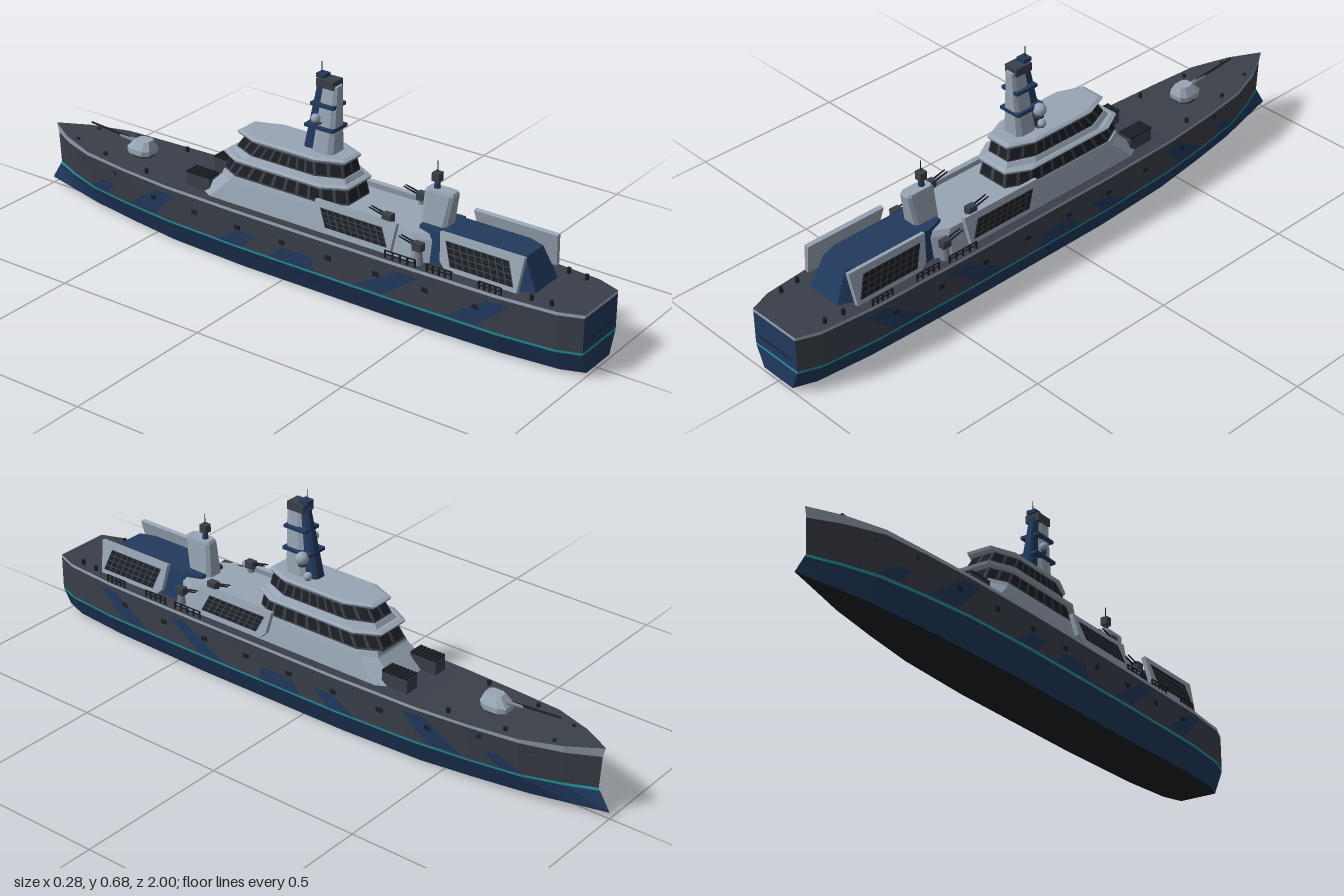
import * as THREE from 'three';

const mat = (name, color) => Object.assign(new THREE.MeshStandardMaterial({ color }), { name });
const M = {
  light: mat('light grey', 0x98a5b4),
  dark: mat('slate', 0x3a3f49),
  navy: mat('navy', 0x213a5e),
  black: mat('black', 0x1b1e24),
  teal: mat('teal', 0x2596a3),
  mid: mat('steel grey', 0x78838f),
};
const lerp = THREE.MathUtils.lerp;

// piecewise linear lookup in rows of [key, v1, v2, ...] with rising keys
function look(table, key, col = 1) {
  let i = 0;
  while (i < table.length - 2 && key > table[i + 1][0]) i++;
  const [a, b] = [table[i], table[i + 1]];
  return lerp(a[col], b[col], THREE.MathUtils.clamp((key - a[0]) / (b[0] - a[0]), 0, 1));
}
function quads(name, material, list) {
  const pos = [];
  for (const [a, b, c, d] of list) for (const p of [a, b, c, a, c, d]) pos.push(...p);
  const g = new THREE.BufferGeometry();
  g.setAttribute('position', new THREE.Float32BufferAttribute(pos, 3));
  g.computeVertexNormals();
  const m = new THREE.Mesh(g, material);
  m.name = name;
  return m;
}
// surface through rows of points, facing (row step) x (column step)
function skin(name, material, rows, flip) {
  const list = [];
  for (let i = 0; i < rows.length - 1; i++) for (let j = 0; j < rows[i].length - 1; j++) {
    const q = [rows[i][j], rows[i + 1][j], rows[i + 1][j + 1], rows[i][j + 1]];
    list.push(flip ? q.reverse() : q);
  }
  return quads(name, material, list);
}
// nu x nv thin panes laid on a quad (counter-clockwise corners from outside)
function panes(name, material, corners, nu, nv, gap, off = 0.0015) {
  const [a, b, c, d] = corners.map(p => new THREE.Vector3(...p));
  const n = b.clone().sub(a).cross(d.clone().sub(a)).normalize().multiplyScalar(off);
  const at = (u, v) => a.clone().lerp(b, u).lerp(d.clone().lerp(c, u), v).add(n).toArray();
  const list = [];
  for (let i = 0; i < nu; i++) for (let j = 0; j < nv; j++) {
    const u0 = (i + gap) / nu, u1 = (i + 1 - gap) / nu, v0 = (j + gap) / nv, v1 = (j + 1 - gap) / nv;
    list.push([at(u0, v0), at(u1, v0), at(u1, v1), at(u0, v1)]);
  }
  return quads(name, material, list);
}
// chamfered ring: y, half width, bow-end z, stern-end z, chamfer length, end width ratio
function ring([y, w, z0, z1, c = 0, k = 1]) {
  return [[w, z0 + c], [w, z1 - c], [w * k, z1], [-w * k, z1], [-w, z1 - c], [-w, z0 + c], [-w * k, z0], [w * k, z0]]
    .map(([x, z]) => [x, y, z]);
}
function loft(name, material, specs) {
  const rings = specs.map(ring), list = [];
  for (let i = 0; i < rings.length - 1; i++) for (let j = 0; j < 8; j++) {
    const n = (j + 1) % 8;
    list.push([rings[i][j], rings[i + 1][j], rings[i + 1][n], rings[i][n]]);
  }
  const t = rings[rings.length - 1], b = rings[0];
  for (const [p, q, r, s] of [[0, 1, 4, 5], [1, 2, 3, 4], [0, 5, 6, 7]]) {
    list.push([t[s], t[r], t[q], t[p]], [b[p], b[q], b[r], b[s]]);
  }
  return quads(name, material, list);
}
function part(name, geo, material, x, y, z, rx = 0, rz = 0) {
  const m = new THREE.Mesh(geo, material);
  m.name = name;
  m.position.set(x, y, z);
  m.rotation.set(rx, 0, rz);
  return m;
}
const box = (name, m, w, h, d, x, y, z, rx, rz) => part(name, new THREE.BoxGeometry(w, h, d), m, x, y, z, rx, rz);
const rod = (name, m, r0, r1, h, x, y, z, rx, rz, n = 10) => part(name, new THREE.CylinderGeometry(r1, r0, h, n), m, x, y, z, rx, rz);

// hull stations: z, half widths at deck, waterline and bottom
const STATIONS = [[-1, 0.001, 0.001, 0.001], [-0.9, 0.056, 0.04, 0.022], [-0.77, 0.1, 0.08, 0.05], [-0.6, 0.118, 0.105, 0.072],
  [-0.42, 0.131, 0.126, 0.09], [-0.15, 0.137, 0.137, 0.1], [0.4, 0.137, 0.138, 0.1], [0.75, 0.132, 0.133, 0.097],
  [0.93, 0.116, 0.116, 0.085], [1, 0.09, 0.09, 0.062]];
const DECK = [[-1, 0.216], [-0.6, 0.203], [-0.4, 0.2], [1, 0.2]];
const KEEL = [[-1, 0.02], [-0.35, 0], [0.5, 0], [1, 0.012]];
const STEM = [[0.02, -1], [0.09, -0.957], [0.12, -0.95], [0.215, -0.973]];
function hullPoint(z, y, off = 0) {
  const deck = look(DECK, z), keel = look(KEEL, z), wl = look(STATIONS, z, 2);
  const w = y < 0.08 ? lerp(look(STATIONS, z, 3), wl, (y - keel) / (0.08 - keel))
    : lerp(wl, look(STATIONS, z, 1), (y - 0.08) / (deck - 0.08));
  const zz = z < -0.6 ? -0.6 + (z + 0.6) * (look(STEM, y) + 0.6) / -0.4 : z;
  return [w + off, y, zz];
}
const flipX = ([x, y, z]) => [-x, y, z];

function createHull() {
  const g = new THREE.Group();
  g.name = 'hull';
  const zs = STATIONS.map(s => s[0]);
  const levels = [z => look(KEEL, z), () => 0.077, () => 0.085, z => look(DECK, z) - look([[-1, 0.03], [-0.72, 0.01], [1, 0.01]], z), z => look(DECK, z)];
  const rows = levels.map(f => zs.map(z => hullPoint(z, f(z))));
  const bands = [['lowerHull', M.navy], ['waterline', M.teal], ['upperHull', M.dark], ['gunwale', M.light]];
  bands.forEach(([name, m], i) => {
    const r = [rows[i], rows[i + 1]], mirrored = r.map(a => a.map(flipX));
    g.add(skin(name, m, r), skin(name, m, mirrored, true));
    const edge = r.map(a => a[a.length - 1]);
    g.add(skin('transom', i === 2 ? M.navy : m, [edge.map(flipX), edge]));
  });
  g.add(skin('deck', M.dark, [rows[4], rows[4].map(flipX)]));
  g.add(skin('bottom', M.black, [rows[0].map(flipX), rows[0]]));
  for (const y of [0.112, 0.119]) g.add(box('transomSeam', M.black, 0.14, 0.002, 0.002, 0, y, 1));

  // slanted camouflage patches: bow-end z, length, shear, lower y, upper y
  const patches = [[0.59, 0.1, 0.13, 0.09, 0.175], [0.28, 0.1, 0.15, 0.09, 0.175], [-0.02, 0.16, 0.04, 0.086, 0.13],
    [-0.22, 0.1, 0.08, 0.086, 0.135], [-0.58, 0.11, 0.12, 0.09, 0.175], [-0.78, 0.08, 0.07, 0.088, 0.13]];
  for (const [z, len, shear, y0, y1] of patches) {
    const p = [0, 0.5, 1].map(t => [0, 0.25, 0.5, 0.75, 1].map(u => hullPoint(z + u * len * (1 - 0.3 * t) + t * shear, lerp(y0, y1, t), 0.002)));
    g.add(skin('camouflagePatch', M.navy, p), skin('camouflagePatch', M.navy, p.map(r => r.map(flipX)), true));
  }
  // fairleads along the sides and bollards on deck
  for (const s of [1, -1]) {
    for (let z = -0.8; z < 0.85; z += 0.165) {
      const p = hullPoint(z, 0.145);
      g.add(box('fairlead', M.black, 0.007, 0.014, 0.02, s * p[0], z < -0.55 ? 0.175 : 0.145, p[2]));
    }
    for (const z of [-0.84, -0.7, -0.52, 0.84, 0.9])
      g.add(rod('bollard', M.black, 0.006, 0.006, 0.016, s * (hullPoint(z, 0.19)[0] - 0.025), 0.208, z));
  }
  return g;
}

function createSuperstructure() {
  const g = new THREE.Group();
  g.name = 'superstructure';
  g.add(loft('deckhouse', M.light, [[0.198, 0.108, -0.32, 0.5, 0.05, 0.75], [0.265, 0.094, -0.25, 0.5, 0.05, 0.72], [0.28, 0.09, -0.245, 0.49, 0.05, 0.7]]));
  const tiers = [
    [[0.28, 0.088, -0.255, 0.2, 0.07, 0.6], [0.327, 0.08, -0.225, 0.19, 0.07, 0.6], 0.1],
    [[0.352, 0.074, -0.215, 0.175, 0.08, 0.55], [0.395, 0.066, -0.185, 0.165, 0.08, 0.55], 0.078]];
  for (const [lo, hi, w] of tiers) {
    g.add(loft('windowBand', M.dark, [lo, hi]));
    const [y, , z0, z1, c, k] = hi;
    g.add(loft('tierRoof', M.light, [[y, w - 0.008, z0 - 0.022, z1 + 0.01, c, k], [y + 0.008, w - 0.004, z0 - 0.026, z1 + 0.012, c, k], [y + 0.013, w - 0.012, z0 - 0.012, z1, c, k]]));
    const a = ring(lo), b = ring(hi);
    for (let j = 0; j < 8; j++) {
      const n = (j + 1) % 8;
      g.add(panes('windows', M.black, [a[n], a[j], b[j], b[n]], j === 0 || j === 4 ? 7 : 2, 1, 0.12));
    }
  }
  g.add(loft('bridgeBase', M.light, [[0.335, 0.086, -0.23, 0.19, 0.08, 0.58], [0.353, 0.076, -0.217, 0.178, 0.08, 0.55]]));
  g.add(loft('hangar', M.navy, [[0.198, 0.082, 0.43, 0.83, 0.05, 0.72], [0.29, 0.064, 0.44, 0.785, 0.05, 0.72]]));
  return g;
}

function createMast() {
  const g = new THREE.Group();
  g.name = 'mast';
  g.add(loft('mastTower', M.light, [[0.4, 0.036, 0.05, 0.125, 0.015, 0.7], [0.615, 0.017, 0.08, 0.13, 0.01, 0.7]]));
  g.add(loft('mastForeLeg', M.navy, [[0.4, 0.024, 0.012, 0.06, 0.01, 0.6], [0.615, 0.012, 0.057, 0.09, 0.008, 0.6]]));
  g.add(box('yard', M.navy, 0.064, 0.01, 0.08, 0, 0.553, 0.088), box('yard', M.navy, 0.074, 0.01, 0.1, 0, 0.484, 0.08));
  g.add(box('mastHead', M.dark, 0.048, 0.025, 0.06, 0, 0.618, 0.092), box('sensor', M.navy, 0.03, 0.012, 0.03, 0, 0.636, 0.07));
  g.add(rod('antenna', M.black, 0.0015, 0.001, 0.035, 0, 0.658, 0.066));
  for (const [x, y, z, r] of [[0.043, 0.476, 0.05, 0.02], [-0.036, 0.513, 0.07, 0.014], [0.036, 0.42, 0.035, 0.013]]) {
    g.add(part('radarDome', new THREE.SphereGeometry(r, 20, 14), M.light, x, y, z));
    g.add(rod('domeBase', M.dark, r * 0.6, r * 0.6, 0.008, x, y - r, z));
    g.add(box('domeBracket', M.dark, Math.abs(x), 0.006, 0.01, x / 2, y - r, z + 0.01));
  }
  return g;
}

function createFunnel() {
  const g = new THREE.Group();
  g.name = 'funnel';
  g.add(loft('funnelTower', M.light, [[0.27, 0.031, 0.425, 0.51, 0.012, 0.7], [0.385, 0.022, 0.435, 0.53, 0.01, 0.7], [0.393, 0.02, 0.44, 0.526, 0.01, 0.7]]));
  g.add(rod('directorPost', M.navy, 0.01, 0.007, 0.025, 0, 0.404, 0.465), box('director', M.dark, 0.024, 0.026, 0.024, 0, 0.427, 0.465));
  g.add(rod('antenna', M.black, 0.0015, 0.001, 0.035, 0, 0.457, 0.465));
  return g;
}

function createBowGun() {
  const g = new THREE.Group();
  g.name = 'bowGun';
  g.add(rod('gunRing', M.dark, 0.036, 0.036, 0.012, 0, 0.207, -0.615, 0, 0, 20));
  g.add(loft('turret', M.light, [[0.212, 0.036, -0.66, -0.575, 0.02, 0.6], [0.228, 0.036, -0.66, -0.572, 0.02, 0.6], [0.255, 0.02, -0.635, -0.582, 0.012, 0.6]]));
  g.add(rod('barrelSleeve', M.mid, 0.008, 0.006, 0.06, 0, 0.242, -0.675, -1.5));
  g.add(rod('barrel', M.black, 0.004, 0.003, 0.17, 0, 0.25, -0.74, -1.5));
  return g;
}

// sloped launcher panel with a grid of cells; outline runs along z and y
function launcher(x, z0, z1, h) {
  const g = new THREE.Group();
  g.name = 'launcherPanel';
  const s = new THREE.Shape([[z0, 0.02], [z0 + 0.02, 0], [z1 - 0.01, 0], [z1, h], [z0 - 0.012, h]].map(p => new THREE.Vector2(...p)));
  const geo = new THREE.ExtrudeGeometry(s, { depth: 0.014, bevelEnabled: false });
  geo.rotateY(-Math.PI / 2);
  g.add(part('panelFrame', geo, M.light, 0, 0, 0));
  const q = [[0, 0.014, z1 - 0.02], [0, 0.014, z0 + 0.035], [0, h - 0.02, z0 + 0.01], [0, h - 0.02, z1 - 0.045]];
  g.add(panes('panelRecess', M.dark, q, 1, 1, 0), panes('launcherCells', M.black, q, 9, 4, 0.1, 0.003));
  g.position.set(x, 0.213, 0);
  g.rotation.z = 0.2;
  return g;
}

function createSideFittings() {
  const g = new THREE.Group();
  g.name = 'sideFittings';
  g.add(launcher(0.121, 0.13, 0.4, 0.088), launcher(0.114, 0.55, 0.81, 0.104));
  // deck railings
  for (const [z0, z1] of [[0.38, 0.48], [0.52, 0.6], [0.69, 0.76]]) {
    for (const y of [0.212, 0.223]) g.add(box('rail', M.black, 0.003, 0.003, z1 - z0, 0.128, y, (z0 + z1) / 2));
    for (let i = 0; i < 5; i++) g.add(box('railPost', M.black, 0.004, 0.026, 0.005, 0.128, 0.211, lerp(z0, z1, i / 4)));
  }
  // small gun mounts
  for (const [x, y, z] of [[0.104, 0.2, 0.475], [0.086, 0.25, 0.36]]) {
    g.add(rod('mountBase', M.mid, 0.015, 0.01, 0.045, x, y + 0.022, z), box('mountBody', M.dark, 0.022, 0.024, 0.03, x, y + 0.054, z));
    for (const dx of [-0.006, 0.006]) g.add(rod('mountBarrel', M.black, 0.003, 0.002, 0.055, x + dx, y + 0.064, z - 0.035, -1.35));
  }
  // forward cell block with slatted lid
  g.add(box('cellBlock', M.dark, 0.046, 0.045, 0.09, 0.067, 0.222, -0.325));
  for (let i = 0; i < 7; i++) g.add(box('cellLid', M.black, 0.05, 0.006, 0.009, 0.067, 0.247, -0.364 + i * 0.013));
  return g;
}

export function createModel() {
  const ship = new THREE.Group();
  ship.name = 'patrolShip';
  const left = createSideFittings(), right = createSideFittings();
  right.scale.x = -1;
  ship.add(createHull(), createSuperstructure(), createMast(), createFunnel(), createBowGun(), left, right);
  return ship;
}
